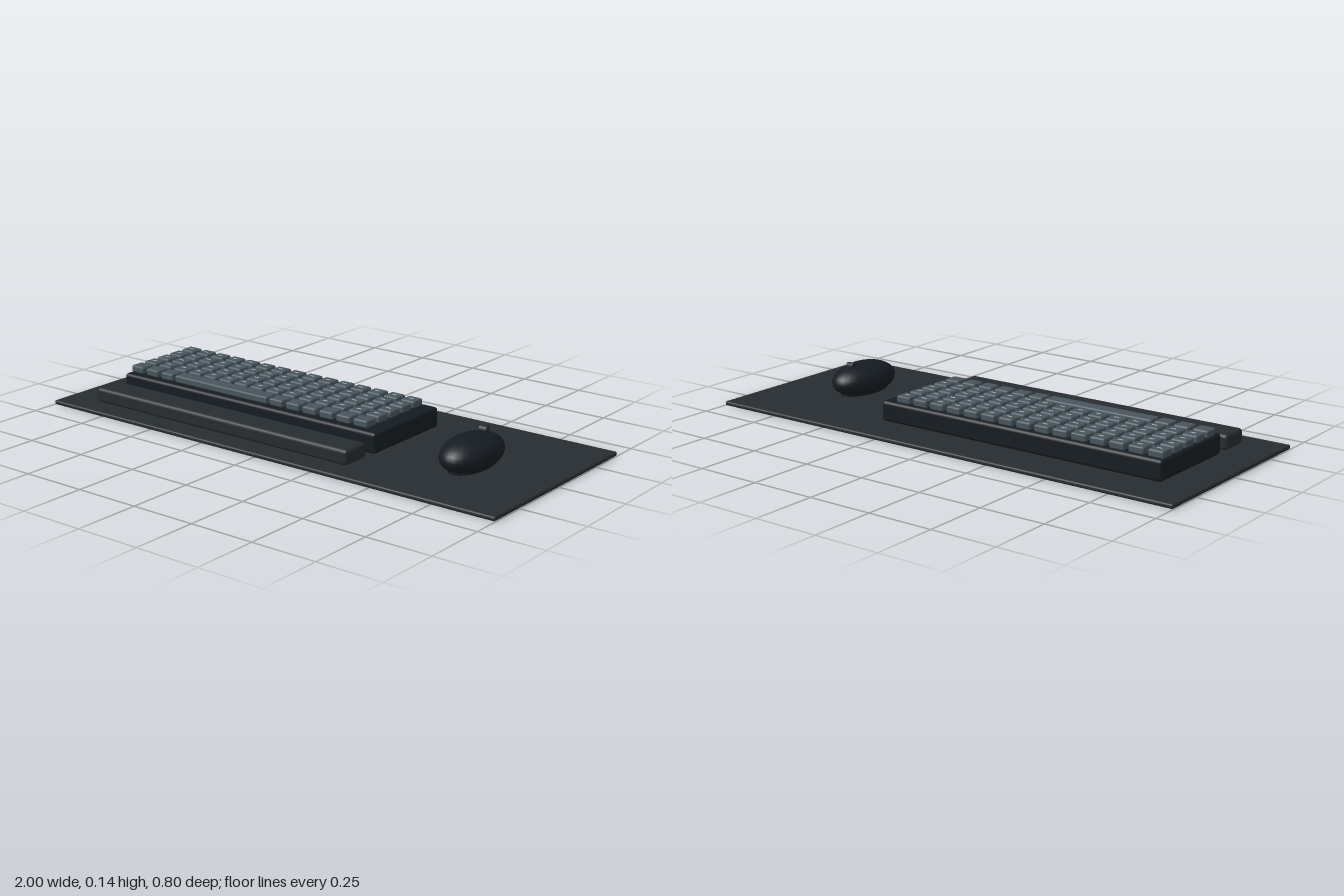
import * as THREE from 'three';
import { RoundedBoxGeometry } from 'three/addons/geometries/RoundedBoxGeometry.js';

const mat = (color) => new THREE.MeshStandardMaterial({ color });

function add(parent, name, geometry, material, x, y, z) {
  const mesh = new THREE.Mesh(geometry, material);
  mesh.name = name;
  mesh.position.set(x, y, z);
  parent.add(mesh);
  return mesh;
}

// Rounded block given by its extents on each axis
function block(parent, name, material, [x0, x1], [y0, y1], [z0, z1], radius) {
  const geometry = new RoundedBoxGeometry(x1 - x0, y1 - y0, z1 - z0, 3, radius);
  return add(parent, name, geometry, material, (x0 + x1) / 2, (y0 + y1) / 2, (z0 + z1) / 2);
}

export function createModel() {
  const model = new THREE.Group();
  model.name = 'deskSet';
  const deskColor = mat(0x262c2f);
  const darkColor = mat(0x151c22);
  const keyColor = mat(0x48545c);
  const legendColor = mat(0xb4bec4);

  // Desk mat and wrist rest
  block(model, 'deskMat', deskColor, [-1, 1], [0, 0.017], [-0.4, 0.4], 0.007);
  block(model, 'wristRest', deskColor, [-0.857, 0.343], [0.016, 0.074], [0.195, 0.313], 0.014);

  // Keyboard
  const keyboard = new THREE.Group();
  keyboard.name = 'keyboard';
  model.add(keyboard);
  block(keyboard, 'keyboardCase', darkColor, [-0.858, 0.348], [0.016, 0.094], [-0.239, 0.155], 0.013);

  const stepX = 0.0772, stepZ = 0.0718, firstX = -0.822, firstZ = -0.193;
  const keyHeight = 0.028, keyY = 0.106;
  const keyGeometry = new RoundedBoxGeometry(0.061, keyHeight, 0.058, 2, 0.007);
  const legendGeometry = new THREE.BoxGeometry(0.02, 0.001, 0.005);
  for (let row = 0; row < 5; row++) {
    for (let col = 0; col < 15; col++) {
      const bottom = row === 4;
      if (bottom && col >= 3 && col <= 8) continue; // room for the space bar
      const x = firstX + col * stepX, z = firstZ + row * stepZ;
      add(keyboard, 'key', keyGeometry, keyColor, x, keyY, z);
      if (!bottom) add(keyboard, 'keyLegend', legendGeometry, legendColor, x, keyY + keyHeight / 2 + 0.0005, z);
    }
  }
  const spaceGeometry = new RoundedBoxGeometry(0.455, keyHeight, 0.058, 2, 0.007);
  add(keyboard, 'spaceBar', spaceGeometry, keyColor, firstX + 5.5 * stepX, keyY, firstZ + 4 * stepZ);

  // Mouse
  const mouse = new THREE.Group();
  mouse.name = 'mouse';
  mouse.position.set(0.677, 0, 0.04);
  model.add(mouse);

  // Ellipsoid shell, flattened where it meets the mat
  const shell = new THREE.SphereGeometry(1, 32, 20);
  shell.scale(0.092, 0.066, 0.154);
  const p = shell.attributes.position;
  for (let i = 0; i < p.count; i++) p.setY(i, Math.max(p.getY(i), -0.051));
  shell.computeVertexNormals();
  add(mouse, 'mouseShell', shell, darkColor, 0, 0.068, 0);

  const base = add(mouse, 'mouseBase', new THREE.CylinderGeometry(1, 1, 0.013, 32), darkColor, 0, 0.0225, 0);
  base.scale.set(0.062, 1, 0.118);

  // Scroll wheel and the seam between the buttons
  const wheel = add(mouse, 'scrollWheel', new THREE.CylinderGeometry(0.013, 0.013, 0.03, 20), deskColor, 0, 0.131, -0.072);
  wheel.rotation.z = Math.PI / 2;
  add(mouse, 'buttonSeam', new THREE.BoxGeometry(0.004, 0.003, 0.016), deskColor, 0, 0.127, -0.088);

  return model;
}
